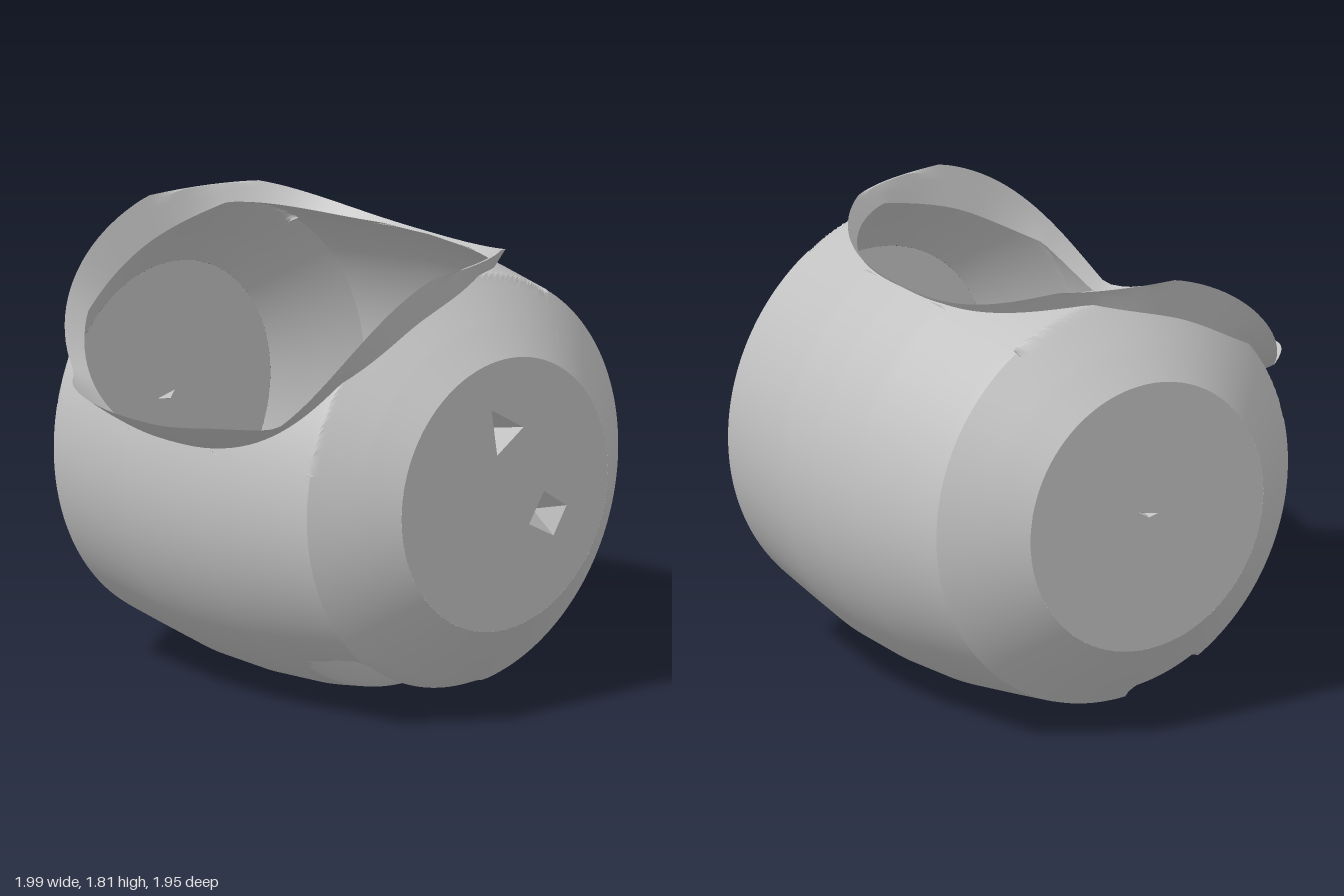
import * as THREE from 'three';
import { toCreasedNormals } from 'three/addons/utils/BufferGeometryUtils.js';

const CX = 0.08, CY = 0.905, END = 0.975, CAP_R = 0.55;
const DEG = Math.PI / 180;
const ramp = THREE.MathUtils.smoothstep;

// barrel radius against distance from the middle
const PROFILE = [[0, 0.915], [0.25, 0.905], [0.5, 0.868], [0.73, 0.832], [0.79, 0.765], [0.87, 0.675], [END, CAP_R]];
function radiusAt(z) {
  let i = 1;
  while (i < PROFILE.length - 1 && z > PROFILE[i][0]) i++;
  const [z0, r0] = PROFILE[i - 1], [z1, r1] = PROFILE[i];
  return r0 + (r1 - r0) * (z - z0) / (z1 - z0);
}

// opening spans these angles around the barrel
const OPEN_A = 57 * DEG, OPEN_B = 168 * DEG;

// recesses pressed into the underside: x range, z range, depth
const RECESSES = [
  [-0.47, 0.2, 0.4, 0.74, 0.12],
  [-0.32, 0.01, -0.78, -0.41, 0.12],
];
function recessAt(x, z) {
  let lift = 0;
  for (const [x0, x1, z0, z1, d] of RECESSES) {
    const wx = ramp(x, x0, x0 + 0.07) * (1 - ramp(x, x1 - 0.06, x1));
    const wz = ramp(z, z0, z0 + 0.05) * (1 - ramp(z, z1 - 0.05, z1));
    lift += d * wx * wz;
  }
  return lift;
}

// columns around the axis; t is the position across the opening, null elsewhere
function columns() {
  const list = [], open = 64, closed = 130;
  for (let i = 0; i < open; i++) {
    const t = -Math.cos(Math.PI * i / open);
    list.push([(OPEN_A + OPEN_B) / 2 + t * (OPEN_B - OPEN_A) / 2, t]);
  }
  for (let i = 0; i <= closed; i++) {
    list.push([OPEN_B + (OPEN_A + 2 * Math.PI - OPEN_B) * i / closed, null]);
  }
  return list;
}
const COLUMNS = columns();
const edgeZ = t => 0.83 * Math.pow(Math.max(0, 1 - Math.pow(Math.abs(t), 2.6)), 1 / 2.6);

function grid(cols, rows, point, flip) {
  const pos = [], idx = [];
  for (const c of cols) for (let j = 0; j <= rows; j++) pos.push(...point(c, j / rows));
  for (let i = 0; i < cols.length - 1; i++) {
    for (let j = 0; j < rows; j++) {
      const a = i * (rows + 1) + j, b = a + rows + 1;
      if (flip) idx.push(a, b, a + 1, a + 1, b, b + 1);
      else idx.push(a, a + 1, b, a + 1, b + 1, b);
    }
  }
  const g = new THREE.BufferGeometry();
  g.setAttribute('position', new THREE.Float32BufferAttribute(pos, 3));
  g.setIndex(idx);
  return toCreasedNormals(g, 0.6);
}

const polar = (angle, r) => [CX + r * Math.cos(angle), CY + r * Math.sin(angle)];

// half of the barrel wall, from one end to the middle or to the opening
function wallHalf(side) {
  return grid(COLUMNS, 40, ([angle, t], s) => {
    const stop = t === null ? 0 : edgeZ(t) * 0.95;
    const z = END + (stop - END) * s;
    const [x, y] = polar(angle, radiusAt(z));
    return [x, y + (y < 0.6 ? recessAt(x, z * side) : 0), z * side];
  }, side < 0);
}

// flared collar along half of the opening, widening to a spout on one side
function collarHalf(side) {
  const cols = COLUMNS.filter(c => c[1] !== null);
  cols.push([OPEN_B, 1]);
  return grid(cols, 5, ([angle, t], s) => {
    const spout = ramp(t, 0.8, 1);
    const base = edgeZ(t) * 0.95;
    const z = base + (edgeZ(t) - base) * s;
    const r0 = radiusAt(base);
    const tip = 0.925 + 0.195 * spout;
    const [x, y] = polar(angle - 4 * DEG * spout * s, r0 + (tip - r0) * s);
    return [x, Math.min(y, 1.8), z * side];
  }, side < 0);
}

// flat end disc with small pyramid dents; outlines run anticlockwise
function endCap(name, dents, material) {
  const cap = new THREE.Group();
  cap.name = name;
  const shape = new THREE.Shape();
  shape.absarc(0, 0, CAP_R, 0, Math.PI * 2);
  dents.forEach(({ outline, apex, depth }, n) => {
    const pts = outline.map(([x, y]) => new THREE.Vector2(x - CX, y - CY));
    shape.holes.push(new THREE.Path(pts.slice()));
    const pos = [];
    pts.forEach((p, i) => {
      const q = pts[(i + 1) % pts.length];
      pos.push(p.x, p.y, 0, q.x, q.y, 0, apex[0] - CX, apex[1] - CY, -depth);
    });
    const g = new THREE.BufferGeometry();
    g.setAttribute('position', new THREE.Float32BufferAttribute(pos, 3));
    g.computeVertexNormals();
    const dent = new THREE.Mesh(g, material);
    dent.name = name + 'Dent' + (n + 1);
    cap.add(dent);
  });
  const disc = new THREE.Mesh(new THREE.ShapeGeometry(shape, 48), material);
  disc.name = name + 'Disc';
  cap.add(disc);
  return cap;
}

export function createModel() {
  const model = new THREE.Group();
  model.name = 'openBarrel';
  const grey = new THREE.MeshStandardMaterial({ color: 0xc2c2c2, side: THREE.DoubleSide });
  grey.name = 'grey';

  for (const [side, label] of [[1, 'front'], [-1, 'back']]) {
    const wall = new THREE.Mesh(wallHalf(side), grey);
    wall.name = label + 'Wall';
    const collar = new THREE.Mesh(collarHalf(side), grey);
    collar.name = label + 'Collar';
    model.add(wall, collar);
  }

  const frontCap = endCap('frontEnd', [
    { outline: [[0.01, 1.26], [0.04, 1.07], [0.18, 1.16]], apex: [0.09, 1.16], depth: 0.08 },
    { outline: [[0.29, 0.88], [0.21, 0.76], [0.34, 0.69], [0.41, 0.8]], apex: [0.3, 0.79], depth: 0.08 },
  ], grey);
  frontCap.position.set(CX, CY, END);

  const backCap = endCap('backEnd', [
    { outline: [[0.04, 0.93], [0.09, 0.9], [0.13, 0.91]], apex: [0.09, 0.91], depth: 0.03 },
  ], grey);
  backCap.position.set(CX, CY, -END);
  backCap.rotation.y = Math.PI;

  model.add(frontCap, backCap);
  return model;
}
